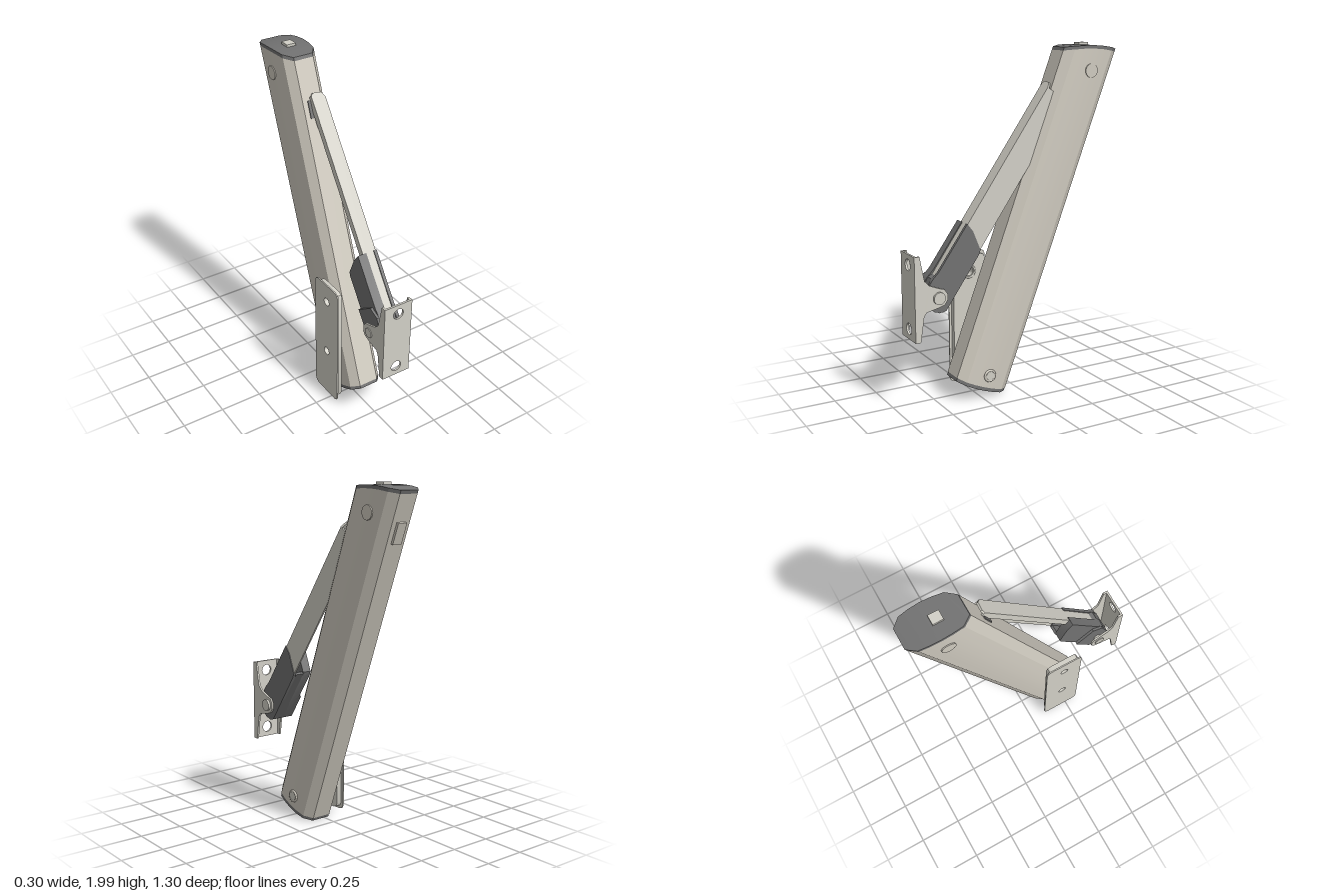
import * as THREE from 'three';
import { toCreasedNormals } from 'three/addons/utils/BufferGeometryUtils.js';

const material = (name, color) => {
  const m = new THREE.MeshStandardMaterial({ color, side: THREE.DoubleSide });
  m.name = name;
  return m;
};

export function createModel() {
  const ivory = material('ivory housing', 0xd0cbc0);
  const steel = material('pale steel', 0xd2d0c7);
  const dark = material('dark grey', 0x727272);
  const model = new THREE.Group();

  const add = (parent, name, geometry, mat) => {
    const mesh = new THREE.Mesh(geometry, mat);
    mesh.name = name;
    parent.add(mesh);
    return mesh;
  };
  // Box given by its limits on each axis
  const box = (parent, name, mat, x0, x1, y0, y1, z0, z1) =>
    add(parent, name, new THREE.BoxGeometry(x1 - x0, y1 - y0, z1 - z0), mat)
      .position.set((x0 + x1) / 2, (y0 + y1) / 2, (z0 + z1) / 2);
  // Side profile of [z, y] points, extruded from x0 to x1; holes are [z, y, r]
  const plate = (parent, name, mat, pts, x0, x1, holes = []) => {
    const shape = new THREE.Shape(pts.map(([z, y]) => new THREE.Vector2(-z, y)));
    for (const [z, y, r] of holes) shape.holes.push(new THREE.Path().absarc(-z, y, r, 0, Math.PI * 2, true));
    const g = new THREE.ExtrudeGeometry(shape, { depth: x1 - x0, bevelEnabled: false, curveSegments: 12 });
    g.rotateY(Math.PI / 2).translate(x0, 0, 0);
    return add(parent, name, toCreasedNormals(g, 0.6), mat);
  };
  const pin = (parent, name, mat, x0, x1, r, y, z) => {
    const g = new THREE.CylinderGeometry(r, r, x1 - x0, 24).rotateZ(Math.PI / 2);
    add(parent, name, g, mat).position.set((x0 + x1) / 2, y, z);
  };

  // Leaning housing: half widths across the depth, front to back
  const outline = [[0.06, 0.166], [0.1, 0.118], [0.108, 0.06], [0.111, 0], [0.108, -0.06], [0.1, -0.118], [0.06, -0.166]];
  const prism = (low, high, scale = 1) => {
    const pos = [];
    const quad = (a, b, c, d) => pos.push(...a, ...b, ...c, ...a, ...c, ...d);
    const at = (k, side, f) => [side * outline[k][0] * scale, f(outline[k][1]), outline[k][1] * scale];
    const last = outline.length - 1;
    for (let k = 0; k < last; k++) {
      quad(at(k, 1, low), at(k + 1, 1, low), at(k + 1, 1, high), at(k, 1, high));
      quad(at(k + 1, -1, low), at(k, -1, low), at(k, -1, high), at(k + 1, -1, high));
      quad(at(k, -1, high), at(k, 1, high), at(k + 1, 1, high), at(k + 1, -1, high));
      quad(at(k, 1, low), at(k, -1, low), at(k + 1, -1, low), at(k + 1, 1, low));
    }
    quad(at(0, -1, low), at(0, 1, low), at(0, 1, high), at(0, -1, high));
    quad(at(last, 1, low), at(last, -1, low), at(last, -1, high), at(last, 1, high));
    const g = new THREE.BufferGeometry();
    g.setAttribute('position', new THREE.Float32BufferAttribute(pos, 3));
    g.computeVertexNormals();
    return toCreasedNormals(g, 0.4);
  };
  const bulge = s => 1 - (s / 0.166) ** 2;
  const top = s => 2.03 - s * 0.325 + 0.018 * bulge(s);
  const bottom = s => -0.01 * bulge(s);

  const housing = new THREE.Group();
  housing.name = 'housing';
  housing.position.set(0.028, 0.07, 0.245);
  housing.rotation.x = -0.362;
  model.add(housing);
  add(housing, 'housingShell', prism(s => bottom(s) + 0.02, s => top(s) - 0.02), ivory);
  add(housing, 'topCap', prism(s => top(s) - 0.02, top), dark);
  add(housing, 'bottomCap', prism(bottom, s => bottom(s) + 0.02, 0.985), dark);
  box(housing, 'rearCatch', ivory, -0.03, 0.03, 1.79, 1.91, -0.18, -0.15);
  box(housing, 'frontSlotPiece', dark, -0.03, -0.008, 1.63, 1.73, 0.15, 0.172);

  // Tab on the top cap
  box(model, 'topTab', steel, 0, 0.055, 1.95, 2.0, -0.48, -0.42);

  // Pivots through the housing
  pin(model, 'upperPivot', ivory, -0.088, 0.144, 0.04, 1.845, -0.45);
  pin(model, 'lowerPivot', steel, -0.115, 0.147, 0.026, 0.145, 0.21);
  pin(model, 'lowerWasher', steel, -0.105, -0.085, 0.055, 0.145, 0.21);
  add(model, 'lowerPivotRing', new THREE.TorusGeometry(0.031, 0.007, 8, 24).rotateY(Math.PI / 2), ivory)
    .position.set(0.141, 0.145, 0.21);

  // Side mounting plate with a raised face
  const rounded = (z0, z1, y0, y1, c) => [
    [z0 + c, y0], [z1 - c, y0], [z1 - c * 0.3, y0 + c * 0.3], [z1, y0 + c], [z1, y1 - c], [z1 - c * 0.3, y1 - c * 0.3],
    [z1 - c, y1], [z0 + c, y1], [z0 + c * 0.3, y1 - c * 0.3], [z0, y1 - c], [z0, y0 + c], [z0 + c * 0.3, y0 + c * 0.3]];
  const screwHoles = [[0.21, 0.7, 0.025], [0.21, 0.34, 0.025]];
  plate(model, 'mountingPlateRim', steel, rounded(0.09, 0.325, 0.03, 0.815, 0.03), -0.15, -0.142, screwHoles);
  plate(model, 'mountingPlateFace', steel, rounded(0.105, 0.31, 0.045, 0.8, 0.03), -0.142, -0.11, screwHoles);
  add(model, 'screwHoleRing', new THREE.TorusGeometry(0.036, 0.006, 8, 24).rotateY(Math.PI / 2), steel)
    .position.set(-0.11, 0.7, 0.21);

  // Front bracket: holed plate with two tapering ears
  const face = new THREE.Shape();
  face.moveTo(-0.065, 0.405).lineTo(0.115, 0.405).lineTo(0.115, 0.89).lineTo(-0.065, 0.89);
  for (const y of [0.465, 0.83]) face.holes.push(new THREE.Path().absarc(0.025, y, 0.033, 0, Math.PI * 2, true));
  const faceGeometry = new THREE.ExtrudeGeometry(face, { depth: 0.012, bevelEnabled: false });
  add(model, 'bracketFace', toCreasedNormals(faceGeometry.translate(0, 0, 0.641), 0.6), steel);
  const ear = [[0.642, 0.405], [0.622, 0.405], [0.6, 0.55], [0.585, 0.572], [0.51, 0.588], [0.475, 0.6], [0.457, 0.625],
    [0.457, 0.66], [0.475, 0.687], [0.51, 0.698], [0.565, 0.72], [0.595, 0.75], [0.622, 0.89], [0.642, 0.89]];
  for (const x of [-0.065, 0.103]) plate(model, 'bracketEar', steel, ear, x, x + 0.012);
  pin(model, 'bracketPin', steel, -0.06, 0.11, 0.02, 0.643, 0.51);
  pin(model, 'bracketPinHead', steel, 0.11, 0.128, 0.035, 0.643, 0.51);
  pin(model, 'bracketPinTail', steel, -0.07, -0.06, 0.03, 0.643, 0.51);

  // Swinging arm, hinged on the bracket pin
  const arm = new THREE.Group();
  arm.name = 'arm';
  arm.position.set(0, 0.643, 0.51);
  arm.rotation.x = -0.611;
  model.add(arm);
  const web = new THREE.Shape();
  web.moveTo(0.015, 0.06).lineTo(0.1, 0.1).lineTo(0.1, 1.315).lineTo(0.08, 1.345).lineTo(0.03, 1.35).lineTo(0.015, 1.335);
  const webGeometry = new THREE.ExtrudeGeometry(web, { depth: 0.012, bevelEnabled: false });
  add(arm, 'armWeb', webGeometry.translate(0, 0, 0.058), steel);
  const flange = [[0.065, 0.08], [-0.08, 0.08], [-0.08, 1.25], [-0.03, 1.315], [0.065, 1.315]];
  plate(arm, 'armFlange', steel, flange, 0.09, 0.1);
  box(arm, 'armLip', steel, 0.015, 0.025, 0.08, 1.335, 0.03, 0.065);

  // Dark sleeve around the lower end of the arm
  const sleeve = [[0.075, 0.427], [0.02, 0.41], [-0.08, 0.345], [-0.087, 0.32], [-0.087, -0.04], [-0.07, -0.06],
    [-0.03, -0.078], [0.01, -0.076], [0.05, -0.05], [0.086, 0.04], [0.086, 0.07], [0.077, 0.12]];
  plate(arm, 'sleeveLeftWall', dark, sleeve, -0.02, 0.035);
  plate(arm, 'sleeveRightWall', dark, sleeve, 0.085, 0.104);
  box(arm, 'sleeveBack', dark, 0.03, 0.09, -0.03, 0.34, -0.087, -0.07);
  const tip = [[0.086, 0.07], [0.05, 0.13], [-0.087, 0.13], [-0.087, -0.04], [-0.06, -0.07], [0.01, -0.08], [0.06, -0.05]];
  plate(arm, 'sleeveTip', dark, tip, -0.035, 0.1);

  return model;
}
